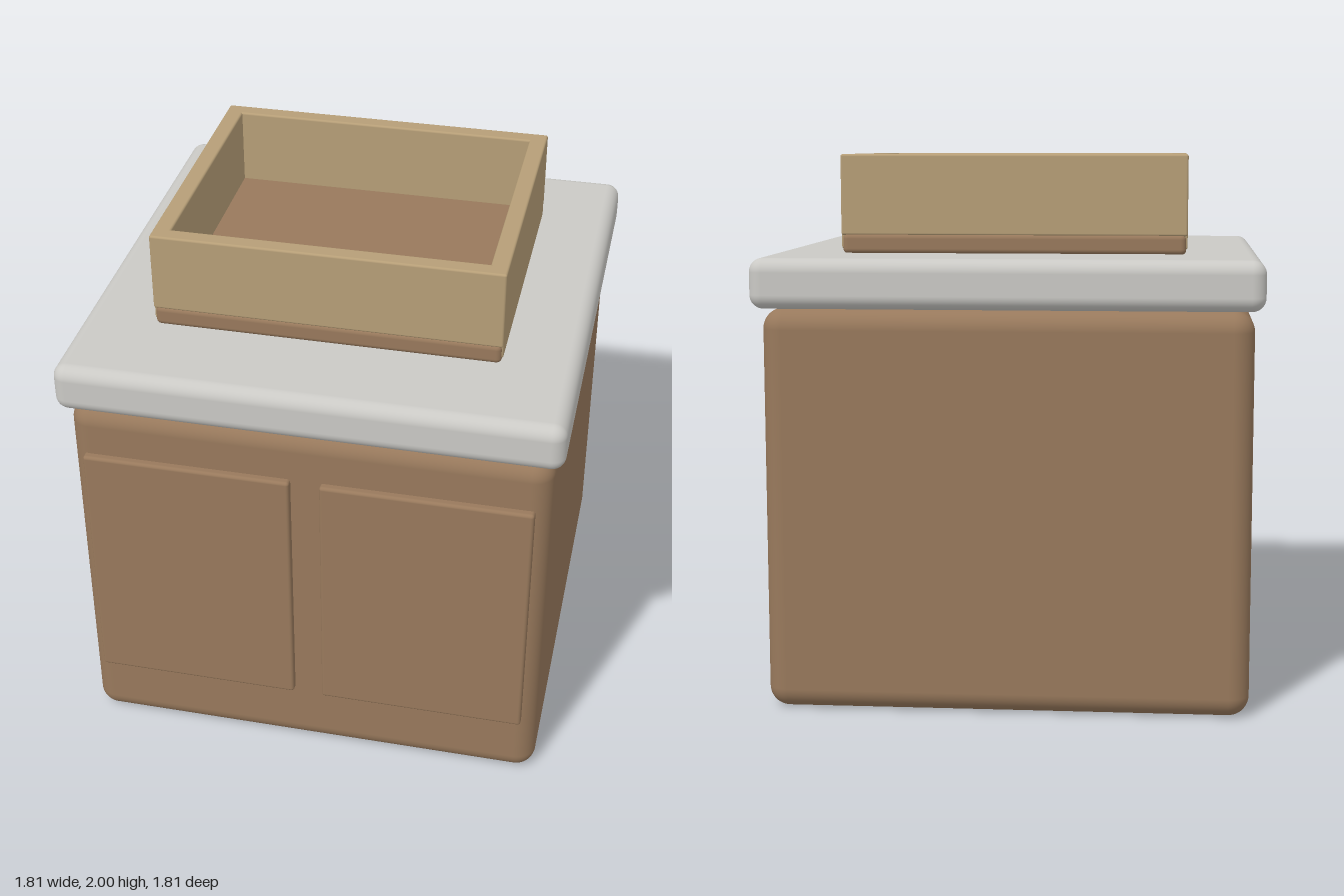
import * as THREE from 'three';
import { RoundedBoxGeometry } from 'three/addons/geometries/RoundedBoxGeometry.js';

const material = (name, color) => {
  const m = new THREE.MeshStandardMaterial({ color });
  m.name = name;
  return m;
};

export function createModel() {
  const model = new THREE.Group();
  model.name = 'cabinet';
  const wood = material('brown wood', 0x98795c);
  const stone = material('pale stone', 0xcac9c5);
  const tan = material('tan wood', 0xb69e77);

  // Rounded block given by its lower and upper corners
  const block = (name, mat, [x0, y0, z0], [x1, y1, z1], radius, segments = 4) => {
    const mesh = new THREE.Mesh(
      new RoundedBoxGeometry(x1 - x0, y1 - y0, z1 - z0, segments, radius), mat);
    mesh.position.set((x0 + x1) / 2, (y0 + y1) / 2, (z0 + z1) / 2);
    mesh.name = name;
    model.add(mesh);
    return mesh;
  };

  // Cabinet body and worktop
  block('body', wood, [-0.872, 0, -0.872], [0.872, 1.46, 0.872], 0.075, 6);
  block('worktop', stone, [-0.907, 1.46, -0.907], [0.907, 1.64, 0.907], 0.05, 6);

  // Two front doors
  block('rightDoor', wood, [-0.82, 0.268, 0.84], [-0.056, 1.268, 0.9], 0.012);
  block('leftDoor', wood, [0.053, 0.268, 0.84], [0.817, 1.268, 0.9], 0.012);

  // Open box on top: floor, then four walls
  block('boxFloor', wood, [-0.63, 1.636, -0.545], [0.63, 1.712, 0.543], 0.02);
  for (const s of [-1, 1]) {
    const side = s < 0 ? 'right' : 'left';
    const end = s < 0 ? 'back' : 'front';
    const x = [s * 0.57, s * 0.635].sort((a, b) => a - b);
    const z = [s * 0.478, s * 0.541].sort((a, b) => a - b);
    block(side + 'BoxWall', tan, [x[0], 1.656, -0.53], [x[1], 2, 0.53], 0.008, 3);
    block(end + 'BoxWall', tan, [-0.635, 1.705, z[0]], [0.635, 2, z[1]], 0.008, 3);
  }
  return model;
}
